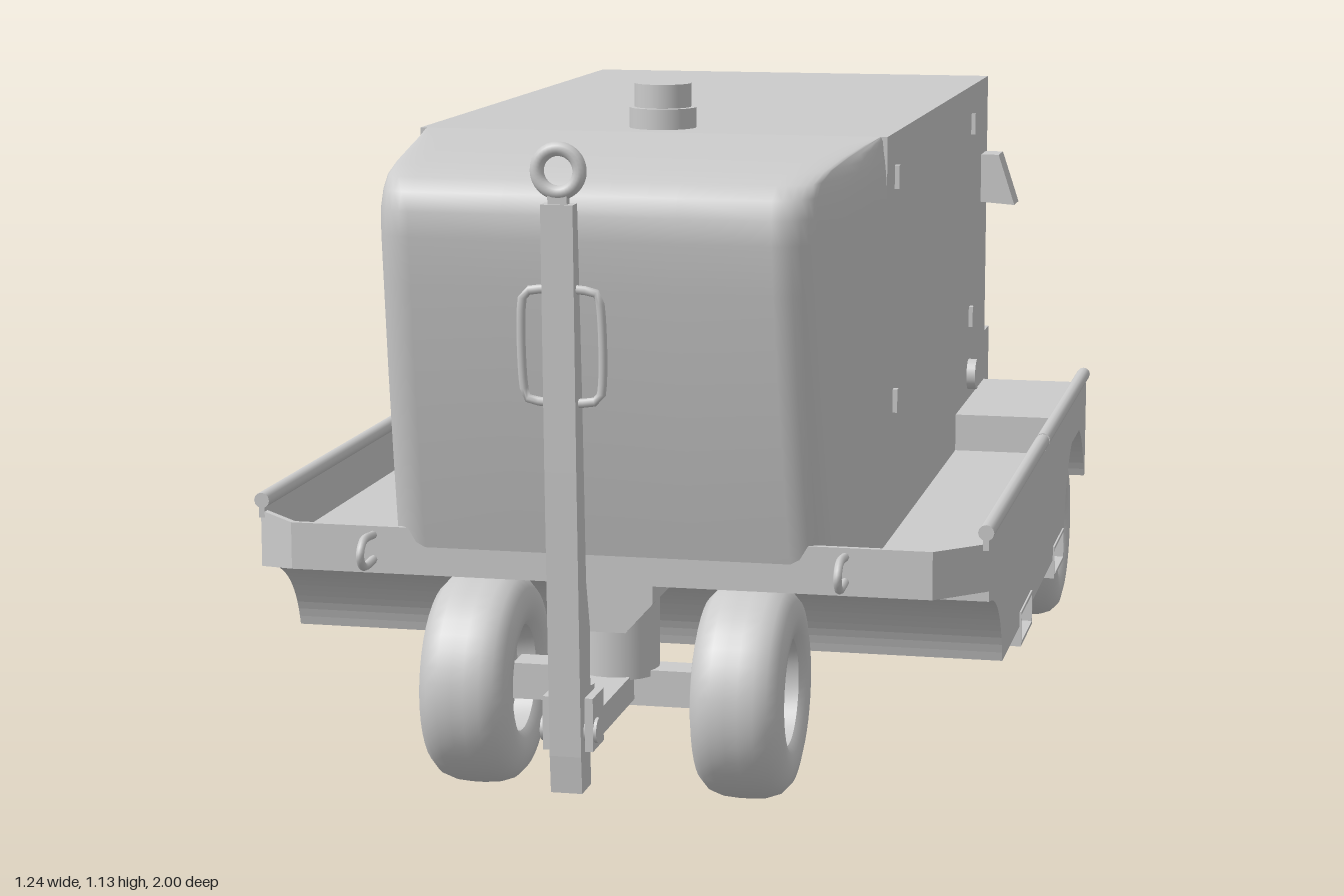
import * as THREE from 'three';
import { toCreasedNormals } from 'three/addons/utils/BufferGeometryUtils.js';

const grey = new THREE.MeshStandardMaterial({ color: 0xcccccc, side: THREE.DoubleSide });
const V = (x, y, z) => new THREE.Vector3(x, y, z);

export function createModel() {
  const root = new THREE.Group();
  const add = (name, geo, x = 0, y = 0, z = 0) => {
    const m = new THREE.Mesh(geo, grey);
    m.name = name;
    m.position.set(x, y, z);
    root.add(m);
    return m;
  };
  // Box given by its limits
  const box = (name, x0, x1, y0, y1, z0, z1) =>
    add(name, new THREE.BoxGeometry(x1 - x0, y1 - y0, z1 - z0), (x0 + x1) / 2, (y0 + y1) / 2, (z0 + z1) / 2);
  const poly = (pts) => new THREE.Shape(pts.map((p) => new THREE.Vector2(...p)));
  const rect = (x0, y0, x1, y1) => poly([[x0, y0], [x1, y0], [x1, y1], [x0, y1]]);
  // Profile drawn in (z, y), extruded across x0..x1
  const across = (shape, x0, x1) =>
    new THREE.ExtrudeGeometry(shape, { depth: x1 - x0, bevelEnabled: false, curveSegments: 16 })
      .rotateY(-Math.PI / 2).translate(x1, 0, 0);
  const tube = (name, pts, r, closed = false) =>
    add(name, new THREE.TubeGeometry(new THREE.CatmullRomCurve3(pts, closed, 'centripetal'), 32, r, 8, closed));
  const cyl = (name, r, h, x, y, z, axis = 'y', n = 24) => {
    const g = new THREE.CylinderGeometry(r, r, h, n);
    if (axis === 'x') g.rotateZ(Math.PI / 2);
    if (axis === 'z') g.rotateX(Math.PI / 2);
    return add(name, g, x, y, z);
  };

  // Canopy with a rear panel that has a socket recess
  box('canopy', -0.4, 0.4, 0.36, 1.06, -0.84, 0.37);
  const panel = rect(-0.4, 0.36, 0.4, 1.06);
  panel.holes.push(rect(0.27, 0.56, 0.38, 0.68));
  add('rearPanel', new THREE.ExtrudeGeometry(panel, { depth: 0.09, bevelEnabled: false }), 0, 0, -0.93);
  cyl('recessSocket', 0.025, 0.06, 0.32, 0.6, -0.87, 'z');
  cyl('rearKnob', 0.012, 0.03, 0, 0.795, -0.94, 'z', 12);
  cyl('rearConnector', 0.028, 0.02, -0.29, 0.62, -0.94, 'z');
  box('rearBumper', -0.4, 0.4, 0.17, 0.54, -1, -0.93);

  // Nose: plan sections stacked upward, [y, front z, half width at the back]
  const rows = [[0.37, 0.69, 0.4], [0.44, 0.708, 0.4], [0.55, 0.735, 0.4], [0.7, 0.768, 0.4], [0.85, 0.795, 0.4],
    [0.93, 0.806, 0.4], [0.97, 0.806, 0.4], [1.0, 0.795, 0.398], [1.02, 0.765, 0.396], [1.033, 0.7, 0.394],
    [1.044, 0.6, 0.393], [1.053, 0.48, 0.392], [1.058, 0.4, 0.39], [1.06, 0.37, 0.388]];
  const pos = [], idx = [];
  let cols = 0;
  rows.forEach(([y, zf, w], i) => {
    const len = zf - 0.37, r = Math.min(0.06, len * 0.4), half = [];
    const wf = w - 0.05 * Math.min(1, len / 0.43);
    for (let k = 0; k < 4; k++) half.push([w + (wf - w) * (k / 4) ** 1.5, 0.37 + (len - r) * k / 4]);
    for (let k = 0; k <= 6; k++) {
      const a = k * Math.PI / 12;
      half.push([wf - r + r * Math.cos(a), zf - r + r * Math.sin(a)]);
    }
    half.push([wf * 0.4, zf]);
    const line = [...half.map(([x, z]) => [-x, z]), ...half.slice().reverse()];
    cols = line.length;
    line.forEach(([x, z]) => pos.push(x, y, z));
    if (i) for (let j = 0; j < cols - 1; j++) {
      const a = (i - 1) * cols + j, b = a + cols;
      idx.push(a, a + 1, b, a + 1, b + 1, b);
    }
  });
  const nose = new THREE.BufferGeometry();
  nose.setAttribute('position', new THREE.Float32BufferAttribute(pos, 3));
  nose.setIndex(idx);
  nose.computeVertexNormals();
  add('nose', nose);

  // Exhaust cap
  cyl('exhaustBase', 0.057, 0.035, 0, 1.077, 0.275);
  cyl('exhaustCap', 0.048, 0.04, 0, 1.115, 0.275);

  // Chassis hull with front wheel arch and notches for the fork pockets
  const pockets = [[-0.51, -0.34], [0.02, 0.19]];
  const hull = new THREE.Shape();
  hull.moveTo(-0.51, 0.36);
  hull.lineTo(-0.51, 0.225);
  hull.lineTo(-0.34, 0.225);
  hull.lineTo(-0.34, 0.2);
  hull.lineTo(0.02, 0.2);
  hull.lineTo(0.02, 0.225);
  hull.lineTo(0.19, 0.225);
  hull.lineTo(0.19, 0.2);
  hull.lineTo(0.43, 0.2);
  hull.quadraticCurveTo(0.46, 0.325, 0.62, 0.345);
  hull.lineTo(0.7, 0.362);
  hull.lineTo(0.7, 0.37);
  hull.lineTo(-0.51, 0.37);
  add('chassis', across(hull, -0.53, 0.53));
  for (const s of [-1, 1]) {
    // Hull end with the front corner chamfered
    const end = across(hull, s > 0 ? 0.53 : -0.61, s > 0 ? 0.61 : -0.53);
    const p = end.attributes.position;
    for (let i = 0; i < p.count; i++) if (Math.abs(p.getX(i)) > 0.6) p.setZ(i, Math.min(p.getZ(i), 0.62));
    end.computeVertexNormals();
    add('chassisSide', end);
  }
  box('rearChassis', -0.4, 0.4, 0.2, 0.44, -0.93, -0.51);

  // Wall around the deck
  const wall = poly([[0.61, -0.93], [0.61, 0.62], [0.53, 0.7], [-0.53, 0.7], [-0.61, 0.62], [-0.61, -0.93],
    [-0.6, -0.93], [-0.6, 0.616], [-0.526, 0.69], [0.526, 0.69], [0.6, 0.616], [0.6, -0.93]]);
  add('deckWall', new THREE.ExtrudeGeometry(wall, { depth: 0.075, bevelEnabled: false }).rotateX(Math.PI / 2), 0, 0.44, 0);

  // Fork pockets
  for (const [z0, z1] of pockets) {
    const frame = rect(z0, 0.165, z1, 0.226);
    frame.holes.push(rect(z0 + 0.006, 0.171, z1 - 0.006, 0.22));
    add('forkPocket', across(frame, -0.613, 0.613));
  }

  // Rear fender profile with wheel arch
  const fender = new THREE.Shape();
  fender.moveTo(-0.93, 0.44);
  fender.lineTo(-0.93, 0.25);
  fender.absarc(-0.73, 0.18, 0.198, Math.PI - 0.36, 0.22, true);
  fender.lineTo(-0.51, 0.223);
  fender.lineTo(-0.51, 0.44);

  // Tyre and rim
  const side = [[0.001, 0.03], [0.088, 0.03], [0.088, 0.062], [0.1, 0.073], [0.125, 0.076], [0.15, 0.07],
    [0.166, 0.055], [0.173, 0.035], [0.175, 0.01]];
  const wheelPts = [...side.map(([r, h]) => [r, -h]), ...side.slice().reverse()].map((q) => new THREE.Vector2(...q));
  const wheelGeo = toCreasedNormals(new THREE.LatheGeometry(wheelPts, 40).rotateZ(Math.PI / 2), 0.7);

  for (const s of [-1, 1]) {
    const sx = (a, b) => (s > 0 ? [a, b] : [-b, -a]);
    add('rearFender', across(fender, ...sx(0.4, 0.61)));
    add('rearWheel', wheelGeo, s * 0.514, 0.178, -0.73);
    add('frontWheel', wheelGeo, s * 0.224, 0.178, 0.62);
    cyl('rearAxle', 0.03, 0.1, s * 0.44, 0.178, -0.73, 'x');

    // Side rails
    for (const [z0, z1] of [[-0.92, -0.18], [-0.17, 0.63]]) {
      box('railWeb', ...sx(0.6, 0.61), 0.43, 0.455, z0, z1);
      cyl('rail', 0.013, z1 - z0, s * 0.605, 0.459, (z0 + z1) / 2, 'z', 12);
    }
    // Door hinges
    for (const z of [0.28, -0.69]) for (const y of [0.985, 0.605])
      box('hinge', ...sx(0.398, 0.408), y - 0.02, y + 0.02, z - 0.008, z + 0.008);

    // Tie-down loops
    tube('rearTieDown', [V(s * 0.3, 0.18, -0.975), V(s * 0.3, 0.12, -0.975), V(s * 0.315, 0.103, -0.975),
      V(s * 0.33, 0.12, -0.975), V(s * 0.33, 0.18, -0.975)], 0.006);
    tube('frontTieDown', [V(s * 0.39, 0.425, 0.69), V(s * 0.39, 0.425, 0.755), V(s * 0.39, 0.405, 0.77),
      V(s * 0.39, 0.385, 0.755), V(s * 0.39, 0.385, 0.69)], 0.007);

    // Slanted hood over the cable outlet
    const zc = s > 0 ? -0.91 : -0.8;
    const hood = poly([[0.4, 0.91], [0.435, 0.91], [0.468, 0.81], [0.4, 0.815]].map(([x, y]) => [s * x, s > 0 ? y : y - 0.02]));
    add('outletHood', new THREE.ExtrudeGeometry(hood, { depth: 0.07, bevelEnabled: false }), 0, 0, zc);
  }
  cyl('sideCap', 0.03, 0.02, 0.407, 0.49, -0.69, 'x');

  // Output plug and cables
  box('plug', -0.46, -0.4, 0.735, 0.79, -0.795, -0.735);
  box('plugCollar', -0.455, -0.41, 0.715, 0.735, -0.785, -0.745);
  [[-0.58, -0.35], [-0.55, -0.43], [-0.53, -0.45]].forEach(([x, z], i) => {
    const o = i * 0.012;
    tube('cable', [V(-0.425 - o, 0.72, -0.765 + o), V(-0.46 - o, 0.6, -0.75 + o), V(-0.525 + o, 0.48, -0.68 + o),
      V(x + 0.02, 0.448, -0.55), V(x, 0.43, z)], 0.008);
  });
  tube('sideCable', [V(-0.4, 0.51, -0.71), V(-0.47, 0.5, -0.705), V(-0.53, 0.47, -0.64), V(-0.5, 0.448, -0.5),
    V(-0.455, 0.43, -0.4)], 0.011);

  // Front axle and turntable
  box('frontAxle', -0.17, 0.17, 0.15, 0.21, 0.59, 0.65);
  cyl('turntable', 0.07, 0.16, 0, 0.28, 0.62);
  const bracket = poly([[-0.075, 0.37], [0.075, 0.37], [0.075, 0.33], [0.03, 0.28], [-0.03, 0.28], [-0.075, 0.33]]);
  add('pivotBracket', new THREE.ExtrudeGeometry(bracket, { depth: 0.16, bevelEnabled: false }), 0, 0, 0.53);

  // Drawbar link, pin and raised tow bar
  box('drawLink', -0.035, 0.035, 0.16, 0.205, 0.64, 0.9);
  cyl('linkPin', 0.02, 0.04, 0, 0.22, 0.86, 'y', 16);
  cyl('hingePin', 0.02, 0.09, 0, 0.185, 0.93, 'x', 16);
  box('hingeForkLeft', 0.027, 0.04, 0.155, 0.24, 0.88, 0.95);
  box('hingeForkRight', -0.04, -0.027, 0.155, 0.24, 0.88, 0.95);
  add('towBar', across(poly([[0.905, 0.09], [0.96, 0.09], [0.966, 0.15], [0.985, 0.6], [0.998, 1.01], [0.97, 1.01],
    [0.945, 0.7], [0.928, 0.42], [0.905, 0.34]]), -0.025, 0.025));
  add('towEye', new THREE.TorusGeometry(0.033, 0.011, 12, 32), 0, 1.06, 0.985);
  box('towEyeNeck', -0.015, 0.015, 1.0, 1.025, 0.975, 0.993);
  tube('barHandle', [V(-0.055, 0.71, 0.965), V(0.055, 0.71, 0.965), V(0.06, 0.72, 0.965), V(0.06, 0.865, 0.975),
    V(0.055, 0.875, 0.975), V(-0.055, 0.875, 0.975), V(-0.06, 0.865, 0.975), V(-0.06, 0.72, 0.965)], 0.007, true);
  return root;
}
